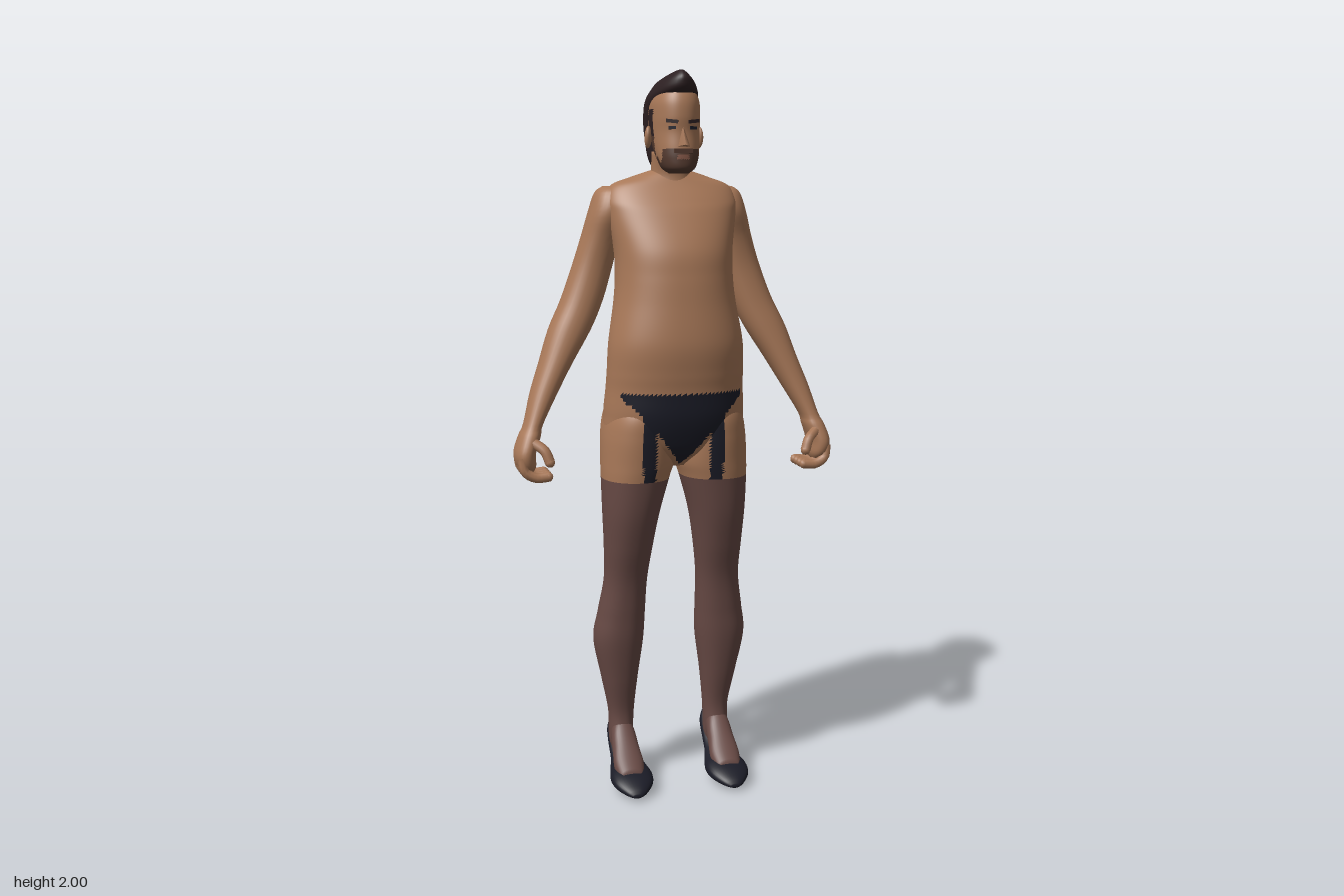
import * as THREE from 'three';

const mat = (name, color) => {
  const m = new THREE.MeshStandardMaterial({ color });
  m.name = name;
  return m;
};
const skin = mat('skin', 0xa87858);
const stocking = mat('stocking', 0x684a45);
const black = mat('black cloth', 0x1b1c27);
const hair = mat('hair', 0x2d2022);
const beard = mat('beard', 0x543a2f);
const lip = mat('lip', 0x855747);
const palette = [skin, stocking, black, hair, beard, lip];
const [SKIN, STOCKING, BLACK, HAIR, BEARD, LIP] = [0, 1, 2, 3, 4, 5];

// Smooth loft through rounded rings [y, x0, x1, z0, z1], listed bottom to top.
// paint(x, y, z) picks a palette index for each cell.
function loft(name, rings, { segs = 32, sub = 4, n = 2.2, paint, material = skin } = {}) {
  const pos = [], cells = palette.map(() => []);
  const rows = (rings.length - 1) * sub;
  const spline = (k, t) => {
    const i = Math.min(Math.floor(t), rings.length - 2), f = t - i;
    const v = d => rings[Math.max(0, Math.min(rings.length - 1, i + d))][k];
    const a = v(-1), b = v(0), c = v(1), e = v(2);
    return b + 0.5 * f * (c - a + f * (2 * a - 5 * b + 4 * c - e + f * (3 * (b - c) + e - a)));
  };
  const round = v => Math.sign(v) * Math.abs(v) ** (2 / n);
  for (let r = 0; r <= rows; r++) {
    const [y, x0, x1, z0, z1] = [0, 1, 2, 3, 4].map(k => spline(k, r / sub));
    for (let s = 0; s < segs; s++) {
      const a = s / segs * Math.PI * 2;
      pos.push((x0 + x1) / 2 + (x1 - x0) / 2 * round(Math.cos(a)), y,
        (z0 + z1) / 2 + (z1 - z0) / 2 * round(Math.sin(a)));
    }
  }
  const addTri = (...t) => {
    const c = [0, 1, 2].map(k => t.reduce((sum, i) => sum + pos[i * 3 + k], 0) / 3);
    cells[paint ? paint(...c) : 0].push(...t);
  };
  for (let r = 0; r < rows; r++) for (let s = 0; s < segs; s++) {
    const a = r * segs + s, b = r * segs + (s + 1) % segs;
    addTri(a, a + segs, b);
    addTri(b, a + segs, b + segs);
  }
  // end caps
  [rings[0], rings[rings.length - 1]].forEach(([y, x0, x1, z0, z1], top) => {
    const c = pos.length / 3, base = top ? rows * segs : 0;
    pos.push((x0 + x1) / 2, y, (z0 + z1) / 2);
    for (let s = 0; s < segs; s++) {
      const a = base + s, b = base + (s + 1) % segs;
      top ? addTri(a, c, b) : addTri(a, b, c);
    }
  });
  const g = new THREE.BufferGeometry();
  g.setAttribute('position', new THREE.Float32BufferAttribute(pos, 3));
  g.setIndex(cells.flat());
  let start = 0;
  if (paint) cells.forEach((c, i) => {
    if (c.length) g.addGroup(start, c.length, i);
    start += c.length;
  });
  g.computeVertexNormals();
  const m = new THREE.Mesh(g, paint ? palette : material);
  m.name = name;
  return m;
}

const centred = rings => rings.map(([y, w, z0, z1]) => [y, -w, w, z0, z1]);
const sided = (rings, s) => rings.map(([y, a, b, z0, z1]) => s > 0 ? [y, a, b, z0, z1] : [y, -b, -a, z0, z1]);
// Rings [z, x0, x1, yBottom, yTop] run along z instead of y
function loftZ(name, rings, s, opts) {
  const m = loft(name, sided(rings.map(([z, a, b, y0, y1]) => [z, a, b, -y1, -y0]), s), opts);
  m.geometry.rotateX(Math.PI / 2);
  return m;
}

// Briefs, straps, stockings and the bare patches behind the knees
function bodyPaint(x, y, z) {
  const ax = Math.abs(x);
  if (y < 0.9) {
    const patch = z < -0.05 && ((ax - 0.14) / 0.022) ** 2 + ((y - 0.55) / 0.03) ** 2 < 1;
    return patch ? SKIN : STOCKING;
  }
  if (z > 0) {
    const low = ax < 0.1 ? 0.94 + ax * 1.3 : 1.07 + (ax - 0.1) * 0.9;
    if (y < 1.145 && y > low && ax < 0.168) return BLACK;
    if (z > 0.03 && Math.abs(ax - 0.095) < 0.018 && y < 1.1) return BLACK;
  } else {
    const low = 0.95 + Math.max(0, ax - 0.03) * 1.05;
    if (y < 1.165 + ax * 0.13 && y > low && (z < -0.06 || ax < 0.05)) return BLACK;
    if (z < -0.05 && Math.abs(ax - 0.115) < 0.015 && y < 1.08) return BLACK;
  }
  return SKIN;
}

// Goatee, mouth and sideburns
function facePaint(x, y, z) {
  const ax = Math.abs(x);
  if (z > 0.06 && ax < 0.016 && y > 1.768 && y < 1.78) return LIP;
  if (z > 0.045 && y < 1.797 && ax < 0.05) return BEARD;
  if (z > -0.03 && z < 0.045 && y < 1.775) return BEARD;
  if (z < 0.025 && y > 1.775 && y < 1.9 && z > -0.02) return y < 1.83 ? BEARD : HAIR;
  return SKIN;
}

const torsoRings = centred([
  [0.935, 0.04, -0.06, 0.05], [0.975, 0.13, -0.11, 0.095], [1.02, 0.192, -0.138, 0.117],
  [1.08, 0.197, -0.148, 0.134], [1.15, 0.192, -0.135, 0.139], [1.2, 0.19, -0.125, 0.146],
  [1.28, 0.186, -0.12, 0.153], [1.39, 0.168, -0.133, 0.141], [1.46, 0.162, -0.138, 0.132],
  [1.53, 0.164, -0.141, 0.118], [1.62, 0.18, -0.14, 0.075], [1.66, 0.184, -0.13, 0.05],
  [1.7, 0.165, -0.122, 0.022], [1.722, 0.11, -0.11, 0.008], [1.74, 0.055, -0.09, -0.005]]);
const legRings = [
  [0.06, 0.12, 0.165, -0.1, 0], [0.1, 0.11, 0.176, -0.115, -0.015], [0.14, 0.108, 0.178, -0.113, -0.026],
  [0.2, 0.105, 0.18, -0.11, -0.03], [0.3, 0.095, 0.2, -0.12, -0.01], [0.415, 0.08, 0.222, -0.131, 0.01],
  [0.5, 0.077, 0.211, -0.115, 0.018], [0.6, 0.074, 0.196, -0.095, 0.031], [0.7, 0.062, 0.198, -0.092, 0.06],
  [0.8, 0.045, 0.203, -0.098, 0.086], [0.9, 0.018, 0.206, -0.112, 0.102], [0.95, 0.003, 0.206, -0.126, 0.108],
  [1.02, 0.003, 0.203, -0.146, 0.113], [1.08, 0.008, 0.192, -0.152, 0.11], [1.14, 0.03, 0.165, -0.12, 0.08]];
const armRings = [
  [0.932, 0.4, 0.43, -0.02, 0.04], [0.95, 0.393, 0.446, -0.045, 0.06], [0.985, 0.393, 0.452, -0.05, 0.066],
  [1.03, 0.378, 0.438, -0.043, 0.052], [1.06, 0.37, 0.423, -0.045, 0.038], [1.14, 0.325, 0.4, -0.078, 0.02],
  [1.22, 0.278, 0.371, -0.105, 0.006], [1.31, 0.222, 0.34, -0.124, -0.008], [1.39, 0.185, 0.302, -0.136, -0.02],
  [1.48, 0.157, 0.268, -0.143, -0.026], [1.56, 0.135, 0.242, -0.147, -0.018], [1.63, 0.105, 0.222, -0.149, 0],
  [1.68, 0.1, 0.205, -0.13, -0.015], [1.698, 0.12, 0.182, -0.105, -0.04]];
const headRings = centred([
  [1.732, 0.025, 0.01, 0.085], [1.745, 0.043, -0.01, 0.1], [1.77, 0.054, -0.03, 0.102], [1.8, 0.06, -0.06, 0.1],
  [1.84, 0.064, -0.09, 0.096], [1.88, 0.066, -0.1, 0.099], [1.92, 0.064, -0.1, 0.095], [1.95, 0.05, -0.085, 0.08],
  [1.965, 0.02, -0.04, 0.05]]);
const hairRings = centred([
  [1.75, 0.045, -0.105, -0.03], [1.78, 0.058, -0.113, -0.018], [1.85, 0.068, -0.121, -0.008],
  [1.9, 0.071, -0.123, 0.025], [1.93, 0.069, -0.12, 0.068], [1.95, 0.06, -0.11, 0.1], [1.97, 0.047, -0.088, 0.107],
  [1.985, 0.03, -0.04, 0.104], [1.997, 0.012, 0.03, 0.09], [2.0, 0.004, 0.055, 0.08]]);
const shoeRings = [
  [-0.142, 0.128, 0.156, 0.1, 0.165], [-0.125, 0.112, 0.172, 0.085, 0.15], [-0.08, 0.106, 0.178, 0.065, 0.115],
  [-0.03, 0.1, 0.182, 0.042, 0.085], [0.02, 0.086, 0.194, 0.016, 0.07], [0.06, 0.08, 0.201, 0.008, 0.064],
  [0.1, 0.088, 0.195, 0.008, 0.052], [0.135, 0.112, 0.172, 0.008, 0.034], [0.148, 0.13, 0.155, 0.01, 0.02]];
const footRings = [
  [-0.09, 0.115, 0.17, 0.09, 0.18], [-0.04, 0.108, 0.178, 0.07, 0.17], [0, 0.104, 0.182, 0.05, 0.132],
  [0.04, 0.1, 0.186, 0.03, 0.096], [0.085, 0.11, 0.176, 0.02, 0.062]];

export function createModel() {
  const model = new THREE.Group();
  model.name = 'standing figure';
  const add = (parent, name, geo, material, p, r = [0, 0, 0], s = [1, 1, 1]) => {
    const m = new THREE.Mesh(geo, material);
    m.name = name;
    m.position.set(...p);
    m.rotation.set(...r);
    m.scale.set(...s);
    parent.add(m);
  };

  model.add(loft('torso', torsoRings, { segs: 96, sub: 8, paint: bodyPaint }));
  model.add(loft('neck', centred([[1.66, 0.065, -0.12, 0.03], [1.73, 0.055, -0.088, 0.012], [1.79, 0.054, -0.085, 0.035]])));

  // Head with hair and face details
  const head = new THREE.Group();
  head.name = 'head';
  model.add(head);
  head.add(loft('face', headRings, { segs: 64, sub: 8, paint: facePaint }));
  head.add(loft('hair', hairRings, { n: 2, material: hair }));
  add(head, 'nose', new THREE.ConeGeometry(0.018, 0.055, 4), skin, [0, 1.829, 0.1], [-0.2, 0, 0], [0.9, 1, 1]);
  add(head, 'moustache', new THREE.BoxGeometry(0.05, 0.012, 0.009), beard, [0, 1.79, 0.099]);

  for (const s of [1, -1]) {
    const side = s > 0 ? 'left' : 'right';
    add(head, side + 'Brow', new THREE.BoxGeometry(0.032, 0.009, 0.009), hair, [s * 0.029, 1.867, 0.092], [0, s * 0.35, s * 0.1]);
    add(head, side + 'Eye', new THREE.BoxGeometry(0.02, 0.008, 0.008), black, [s * 0.028, 1.85, 0.09], [0, s * 0.35, 0]);
    add(head, side + 'Ear', new THREE.SphereGeometry(1, 12, 10), skin, [s * 0.07, 1.828, -0.008], [0.15, s * 0.4, 0], [0.01, 0.03, 0.018]);

    // Arm with a loosely curled hand
    const arm = new THREE.Group();
    arm.name = side + 'Arm';
    model.add(arm);
    arm.add(loft('arm', sided(armRings, s)));
    const digit = (name, pts, r) => {
      const path = pts.map(([x, y, z]) => new THREE.Vector3(s * x, y, z));
      add(arm, name, new THREE.TubeGeometry(new THREE.CatmullRomCurve3(path), 10, r, 8), skin, [0, 0, 0]);
      add(arm, name + 'Tip', new THREE.SphereGeometry(r, 8, 6), skin, path[path.length - 1].toArray());
    };
    for (let i = 0; i < 4; i++) {
      const z = -0.03 + i * 0.026;
      digit('finger', [[0.435, 0.975, z], [0.428, 0.938, z + 0.004], [0.4, 0.921, z + 0.006], [0.366, 0.922, z + 0.006]], 0.0135);
    }
    digit('thumb', [[0.402, 1.015, 0.045], [0.376, 0.995, 0.064], [0.364, 0.965, 0.072]], 0.014);

    // Leg, foot and heeled shoe
    const leg = new THREE.Group();
    leg.name = side + 'Leg';
    model.add(leg);
    leg.add(loft('leg', sided(legRings, s), { segs: 64, sub: 8, paint: bodyPaint }));
    leg.add(loftZ('foot', footRings, s, { material: stocking }));
    leg.add(loftZ('shoe', shoeRings, s, { material: black }));
    add(leg, 'heel', new THREE.CylinderGeometry(0.026, 0.009, 0.105, 10), black, [s * 0.142, 0.0525, -0.108], [-0.12, 0, 0]);
  }
  return model;
}
